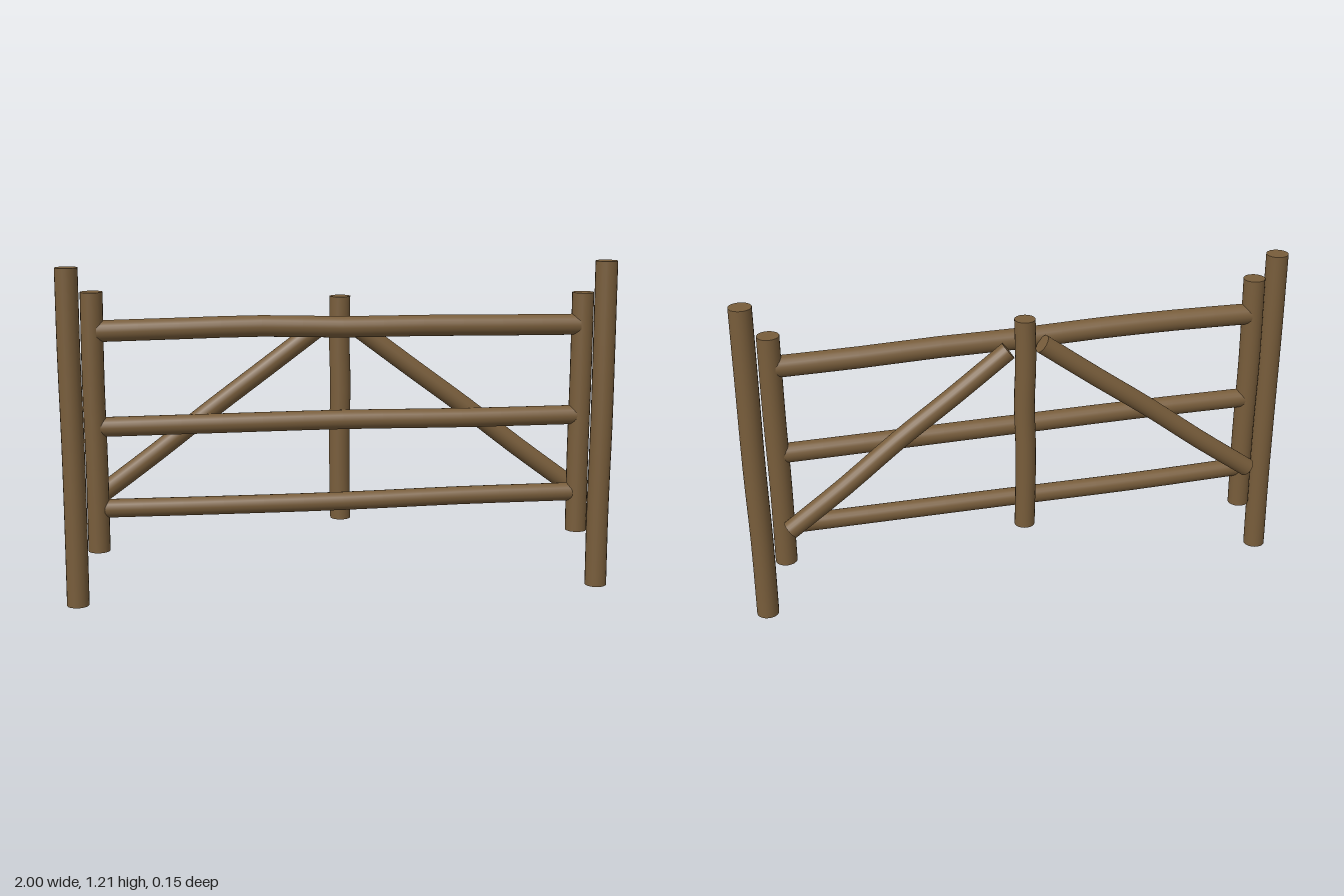
import * as THREE from 'three';

const wood = new THREE.MeshStandardMaterial({ color: 0x785d3b });
wood.name = 'brown wood';

// A slightly crooked pole from (x1,y1) to (x2,y2) at depth z.
// bend: [sideways, depth] offsets spread evenly along the length.
function pole(name, [x1, y1], [x2, y2], z, radius, bend) {
  const dx = x2 - x1, dy = y2 - y1, length = Math.hypot(dx, dy);
  const geometry = new THREE.CylinderGeometry(radius, radius, length, 20, 12);
  const curve = new THREE.CatmullRomCurve3(
    bend.map(([a, b], i) => new THREE.Vector3(a, i / (bend.length - 1), b)));
  const p = geometry.attributes.position, offset = new THREE.Vector3();
  for (let i = 0; i < p.count; i++) {
    const t = THREE.MathUtils.clamp(p.getY(i) / length + 0.5, 0, 1);
    curve.getPoint(t, offset);
    p.setX(i, p.getX(i) + offset.x);
    p.setZ(i, p.getZ(i) + offset.z);
  }
  const mesh = new THREE.Mesh(geometry, wood);
  mesh.name = name;
  mesh.position.set((x1 + x2) / 2, (y1 + y2) / 2, z);
  mesh.rotation.z = Math.atan2(-dx, dy);
  return mesh;
}

export function createModel() {
  const gate = new THREE.Group();
  gate.name = 'woodenGate';
  const front = 0.031, back = -0.036;

  // Tall outer posts standing on the ground
  for (const [side, s] of [['right', -1], ['left', 1]]) {
    gate.add(pole(side + 'GroundPost', [s * 0.956, 0], [s * 0.956, 1.21], 0.033, 0.04,
      [[0, 0], [-0.002 * s, 0.001], [0.002, -0.001], [0.001 * s, 0.001], [0, 0]]));
  }

  // Shorter end posts of the gate
  gate.add(pole('rightGatePost', [-0.874, 0.2], [-0.874, 1.125], front, 0.039,
    [[0, 0], [0.001, 0.002], [-0.002, -0.001], [0.001, 0]]));
  gate.add(pole('leftGatePost', [0.873, 0.215], [0.873, 1.098], front, 0.039,
    [[0, 0], [-0.002, 0.001], [0.001, -0.002], [0, 0]]));

  // Three horizontal rails
  gate.add(pole('topRail', [-0.86, 0.988], [0.86, 0.982], front, 0.038,
    [[0, 0], [-0.006, 0.003], [-0.01, -0.002], [-0.003, 0.001], [-0.004, 0.002], [-0.001, -0.002], [0, 0]]));
  gate.add(pole('middleRail', [-0.86, 0.649], [0.86, 0.65], front, 0.035,
    [[0, 0], [-0.003, 0.002], [-0.004, -0.002], [0, 0.002], [0, 0]]));
  gate.add(pole('bottomRail', [-0.86, 0.354], [0.86, 0.361], front, 0.033,
    [[0, 0], [0.004, -0.002], [0.004, 0.002], [0, -0.002], [0, 0]]));

  // Centre post and the two diagonal braces behind the rails
  gate.add(pole('centrePost', [0, 0.275], [0, 1.09], back, 0.037,
    [[0.001, 0], [-0.002, -0.001], [-0.002, -0.003], [0.001, 0.004], [-0.002, -0.003], [0, 0.001]]));
  gate.add(pole('rightBrace', [-0.87, 0.385], [-0.062, 0.99], back, 0.034,
    [[0, 0], [0.002, -0.002], [-0.002, 0.003], [0, -0.002], [0, 0]]));
  gate.add(pole('leftBrace', [0.856, 0.376], [0.06, 0.978], back, 0.034,
    [[0, 0.001], [-0.002, -0.002], [0.002, 0.003], [0, -0.001], [0, 0]]));

  return gate;
}
